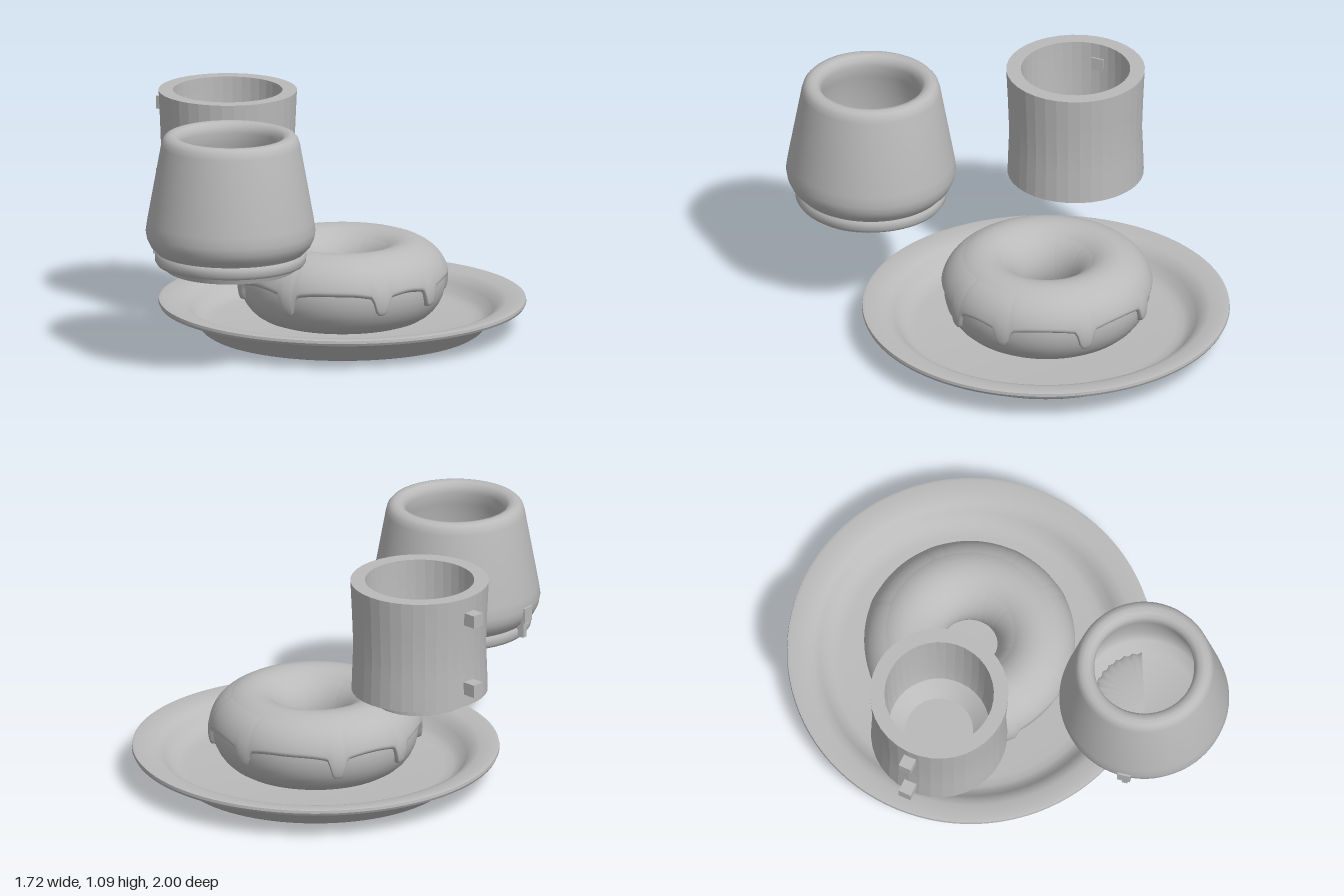
import * as THREE from 'three';
import { toCreasedNormals } from 'three/addons/utils/BufferGeometryUtils.js';

const grey = new THREE.MeshStandardMaterial({ color: 0xbababa });
grey.name = 'plain grey';

function part(name, geometry, parent, x = 0, y = 0, z = 0) {
  const mesh = new THREE.Mesh(geometry, grey);
  mesh.name = name;
  mesh.position.set(x, y, z);
  parent.add(mesh);
  return mesh;
}

// Turned solid: profile runs from the bottom centre, up the outside and down the inside
function turned(profile, segments, crease = 0.6) {
  const pts = profile.map(([r, y]) => new THREE.Vector2(r, y));
  return toCreasedNormals(new THREE.LatheGeometry(pts, segments), crease);
}

// Icing: a torus skin whose lower outer edge runs down into drips
function icingGeometry(R, tube) {
  const drips = [[29, 0.55], [63, 0.58], [117, 0.66], [160, 0.55], [200, 0.6], [242, 0.66], [298, 0.5], [342, 0.62]];
  const N = 240, M = 36, pos = [], idx = [];
  for (let i = 0; i < N; i++) {
    const deg = (i / N) * 360, th = THREE.MathUtils.degToRad(deg);
    let edge = 0.12, swell = 0;
    for (const [at, depth] of drips) {
      const d = Math.abs(((deg - at + 540) % 360) - 180);
      const core = Math.exp(-Math.pow(d / 4.2, 4));
      edge -= (depth + 0.02) * core + 0.12 * Math.exp(-Math.pow(d / 11, 2)) * (1 - core);
      swell += 0.007 * core;
    }
    const end = Math.PI + 0.7;
    for (let j = 0; j <= M; j++) {
      // rows are packed tightly near the edge to form a rounded lip
      const t = Math.pow(j / M, 1.7);
      const phi = edge + (end - edge) * t;
      const lip = Math.min(1, (phi - edge) / 0.12);
      const low = Math.max(0, 1 - Math.max(0, phi + 0.3) / 0.7);
      const r = tube - 0.026 * Math.pow(1 - lip, 2) + swell * low * lip;
      const q = R + r * Math.cos(phi);
      pos.push(q * Math.cos(th), r * Math.sin(phi), q * Math.sin(th));
      if (j < M) {
        const a = i * (M + 1) + j, c = ((i + 1) % N) * (M + 1) + j;
        idx.push(a, a + 1, c, a + 1, c + 1, c);
      }
    }
  }
  const g = new THREE.BufferGeometry();
  g.setAttribute('position', new THREE.Float32BufferAttribute(pos, 3));
  g.setIndex(idx);
  g.computeVertexNormals();
  return g;
}

function addPlate(model) {
  const plate = new THREE.Group();
  plate.name = 'plate';
  plate.position.set(0.02, 0, -0.16);
  model.add(plate);
  part('plateDish', turned([
    [0, 0], [0.63, 0], [0.645, 0.01], [0.725, 0.105], [0.74, 0.112], [0.815, 0.112], [0.834, 0.118],
    [0.84, 0.13], [0.838, 0.143], [0.825, 0.146], [0.75, 0.136], [0.72, 0.125], [0.69, 0.095],
    [0.66, 0.06], [0.63, 0.045], [0.59, 0.04], [0, 0.04],
  ], 96), plate);
}

function addDonut(model) {
  const donut = new THREE.Group();
  donut.name = 'donut';
  donut.position.set(0.02, 0.235, -0.165);
  model.add(donut);
  const dough = new THREE.TorusGeometry(0.305, 0.166, 32, 96).rotateX(Math.PI / 2);
  dough.scale(1, 1.12, 1);
  part('dough', dough, donut);
  part('icing', icingGeometry(0.307, 0.18), donut);
}

function addStraightCup(model) {
  const cup = new THREE.Group();
  cup.name = 'straightCup';
  cup.position.set(-0.52, 0, -0.33);
  model.add(cup);
  part('straightCupBody', turned([
    [0, 0.48], [0.205, 0.48], [0.205, 0.505], [0.312, 0.54], [0.308, 0.66], [0.304, 0.76],
    [0.31, 0.92], [0.317, 1.07], [0.25, 1.07], [0.243, 0.72], [0.23, 0.64], [0.155, 0.58], [0, 0.58],
  ], 36, 0.15), cup);
  // Stubs where the handle joins
  const angle = Math.atan2(-0.165, -0.31);
  for (const [name, y] of [['upperHandleStub', 0.968], ['lowerHandleStub', 0.628]]) {
    const stub = part(name, new THREE.BoxGeometry(0.13, 0.06, 0.06), cup,
      0.305 * Math.cos(angle), y, 0.305 * Math.sin(angle));
    stub.rotation.y = -angle;
  }
}

function addTaperedCup(model) {
  const cup = new THREE.Group();
  cup.name = 'taperedCup';
  cup.position.set(-0.427, 0, 0.612);
  model.add(cup);
  part('taperedCupBody', turned([
    [0, 0.49], [0.315, 0.48], [0.335, 0.485], [0.345, 0.5], [0.346, 0.53], [0.338, 0.542], [0.345, 0.552],
    [0.366, 0.572], [0.382, 0.605], [0.388, 0.64], [0.381, 0.69], [0.318, 1.04], [0.31, 1.067], [0.296, 1.083],
    [0.275, 1.09], [0.25, 1.085], [0.234, 1.068], [0.228, 1.04], [0.24, 0.98], [0.31, 0.66], [0.29, 0.61],
    [0.24, 0.585], [0, 0.575],
  ], 80, 0.8), cup);
  // Slightly tilted foot
  const foot = part('taperedCupFoot', new THREE.CylinderGeometry(0.31, 0.3, 0.03, 64), cup, 0, 0.48, 0);
  foot.rotation.x = 0.03;
  // Fluted fan covering half of the inner floor
  const fan = new THREE.SphereGeometry(0.24, 72, 10, -Math.PI / 2, Math.PI, 0, Math.PI / 2);
  const p = fan.attributes.position;
  for (let i = 0; i < p.count; i++) {
    const x = p.getX(i), z = p.getZ(i);
    const flute = 1 + 0.02 * Math.cos(36 * Math.atan2(z, x));
    p.setXYZ(i, x * flute, p.getY(i) * 0.2, z * flute);
  }
  fan.computeVertexNormals();
  part('innerFan', fan, cup, 0, 0.575, 0).rotation.y = -Math.PI / 2;
  // Remnant of the handle low on the side
  const angle = Math.atan2(-0.11, -0.37);
  for (const [name, h, y, r] of [['handleRemnant', 0.07, 0.615, 0.365], ['handleTip', 0.08, 0.54, 0.345]]) {
    const tab = part(name, new THREE.BoxGeometry(0.06, h, name === 'handleTip' ? 0.025 : 0.06), cup,
      r * Math.cos(angle), y, r * Math.sin(angle));
    tab.rotation.y = -angle;
  }
}

export function createModel() {
  const model = new THREE.Group();
  model.name = 'breakfastSet';
  addPlate(model);
  addDonut(model);
  addStraightCup(model);
  addTaperedCup(model);
  return model;
}
